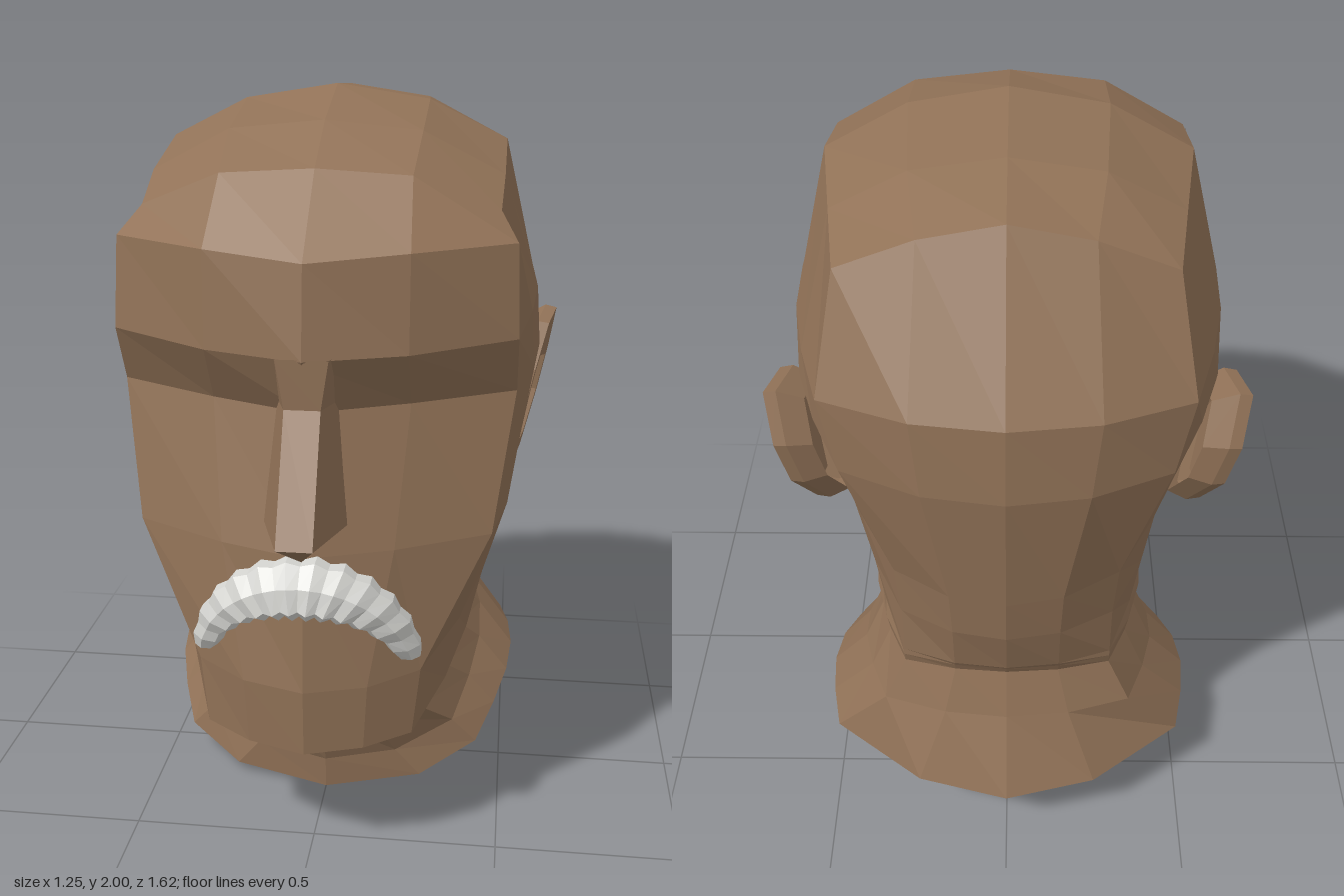
import * as THREE from 'three';

const lerp = THREE.MathUtils.lerp;

// Skin a list of point rows with quads; closed joins the end of each row to its start.
function loft(rows, closed) {
  const pos = [];
  const n = rows[0].length;
  for (let i = 0; i < rows.length - 1; i++) {
    for (let j = 0; j < (closed ? n : n - 1); j++) {
      const k = (j + 1) % n;
      const a = rows[i][j], b = rows[i][k], c = rows[i + 1][j], d = rows[i + 1][k];
      pos.push(...a, ...c, ...d, ...a, ...d, ...b);
    }
  }
  const g = new THREE.BufferGeometry();
  g.setAttribute('position', new THREE.Float32BufferAttribute(pos, 3));
  g.computeVertexNormals();
  return g;
}

const flip = ([x, y, z]) => [-x, y, z];

// Complete a half ring (front centre round the left side to back centre).
const closeRing = (half) => [...half, ...half.slice(1, -1).reverse().map(flip)];

// Half ring: heights front/back with a hump, then front, cheek, corner, side width, back corner, back.
function ring(yF, yB, hump, zF, [mx, mz], [cx, cz], w, [bx, bz], zB) {
  const plan = [[0, zF], [mx, mz]];
  for (let k = 0; k <= 5; k++) {
    const s = k / 5;
    plan.push([lerp(cx, bx, s) + (w - (cx + bx) / 2) * Math.sin(Math.PI * s), lerp(cz, bz, s)]);
  }
  plan.push([bx * 0.5, lerp(zB, bz, 0.25)], [0, zB]);
  return plan.map(([x, z]) => {
    const t = (zF - z) / (zF - zB);
    return [x, lerp(yF, yB, t) + hump * Math.sin(Math.PI * t), z];
  });
}

export function createModel() {
  const model = new THREE.Group();
  const skin = new THREE.MeshStandardMaterial({ color: 0x917257, flatShading: true, side: THREE.DoubleSide });
  skin.name = 'brown skin';
  const hair = new THREE.MeshStandardMaterial({ color: 0xd6d6d2, flatShading: true, side: THREE.DoubleSide });
  hair.name = 'pale grey hair';

  const add = (name, geometry, material) => {
    const mesh = new THREE.Mesh(geometry, material);
    mesh.name = name;
    model.add(mesh);
  };

  // Crown: each row is centre, middle and edge, from forehead to back
  const crown = [
    [[0, 1.63, 0.645], [0.25, 1.65, 0.59], [0.5, 1.655, 0.44]],
    [[0, 1.825, 0.43], [0.24, 1.81, 0.42], [0.455, 1.72, 0.35]],
    [[0, 1.925, 0.24], [0.25, 1.9, 0.23], [0.46, 1.79, 0.2]],
    [[0, 2.0, -0.02], [0.25, 1.96, -0.03], [0.46, 1.855, -0.06]],
    [[0, 1.98, -0.35], [0.23, 1.945, -0.35], [0.42, 1.845, -0.35]],
    [[0, 1.94, -0.58], [0.2, 1.9, -0.58], [0.39, 1.82, -0.57]],
  ];
  const crownRows = crown.map(([c, m, e]) => [flip(e), flip(m), c, m, e]).reverse();
  add('crown', loft(crownRows, false), skin);

  // Face and skull: rings from the crown edge down to the jaw, narrowing to the nape
  const crownEdge = [crown[0][0], crown[0][1], ...crown.map((r) => r[2]), crown[5][1], crown[5][0]];
  const jaw = ring(0.36, 0.63, 0, 0.68, [0.15, 0.64], [0.27, 0.57], 0.4, [0.28, -0.6], -0.68);
  const headRings = [
    crownEdge,
    ring(1.4, 1.54, 0, 0.67, [0.25, 0.6], [0.51, 0.455], 0.555, [0.44, -0.67], -0.8),
    ring(1.255, 1.33, 0, 0.6, [0.25, 0.5], [0.51, 0.37], 0.565, [0.4, -0.68], -0.81),
    ring(0.9, 0.95, 0, 0.67, [0.22, 0.59], [0.46, 0.46], 0.495, [0.29, -0.63], -0.76),
    ring(0.54, 0.8, 0, 0.69, [0.16, 0.65], [0.29, 0.565], 0.44, [0.28, -0.61], -0.735),
    jaw,
  ];
  add('face and skull', loft(headRings.map(closeRing), true), skin);

  // Chin underside and flared neck, open at the bottom
  const neckRings = [
    jaw,
    ring(0.34, 0.61, 0, 0.4, [0.16, 0.38], [0.29, 0.32], 0.395, [0.28, -0.6], -0.665),
    ring(0.26, 0.58, 0, 0.325, [0.14, 0.31], [0.27, 0.25], 0.375, [0.28, -0.59], -0.65),
    ring(0.1, 0.44, 0.06, 0.26, [0.2, 0.22], [0.36, 0.12], 0.43, [0.34, -0.61], -0.69),
    ring(0.005, 0.21, 0.125, 0.25, [0.27, 0.2], [0.43, 0.09], 0.525, [0.49, -0.56], -0.79),
  ];
  add('neck', loft(neckRings.map(closeRing), true), skin);

  // Nose: outer base and ridge on each level, closing to a point below
  const noseRows = [
    [1.405, 0.075, 0.63, 0.065, 0.667],
    [1.28, 0.08, 0.55, 0.045, 0.662],
    [0.975, 0.11, 0.6, 0.045, 0.81],
    [0.9, 0, 0.68, 0, 0.69],
  ].map(([y, xo, zo, xi, zi]) => [[-xo, y, zo], [-xi, y, zi], [xi, y, zi], [xo, y, zo]]);
  add('nose', loft(noseRows, false), skin);

  // Ears: outline swept out to a rim, then into a shallow hollow
  const outline = [[-0.24, 1.31], [-0.38, 1.33], [-0.43, 1.19], [-0.41, 1.05],
    [-0.3, 0.9], [-0.21, 0.89], [-0.155, 1.1], [-0.17, 1.18]];
  const earRow = (scale, out) => outline.map(([z0, y0]) => {
    const y = lerp(1.11, y0, scale), z = lerp(-0.29, z0, scale);
    return [0.56 + 0.2 * (y - 1.1) - 0.15 * (z + 0.28) + out, y, z];
  });
  const earRows = [earRow(0.85, -0.09), earRow(1, -0.03), earRow(0.97, 0.005),
    earRow(0.76, 0.005), earRow(0.7, -0.02), earRow(0, -0.02)];
  add('left ear', loft(earRows, true), skin);
  add('right ear', loft(earRows.map((r) => r.map(flip).reverse()), true), skin);

  // Moustache: jagged drooping arc of alternating sections, thinner at the ends
  const sections = [];
  const count = 24, sides = 7;
  for (let i = 0; i <= count; i++) {
    const u = (i / count) * 2 - 1;
    const arc = u * 1.62;
    const jag = i % 2 ? 1.06 : 0.9;
    const radius = 0.2 + 0.065 * u * u;
    const thick = (0.072 - 0.038 * u * u) * jag;
    const depth = (0.055 - 0.015 * u * u) * jag;
    const row = [];
    for (let j = 0; j < sides; j++) {
      const a = (j / sides) * Math.PI * 2 - Math.PI / 2;
      const h = thick * Math.sin(a);
      row.push([Math.sin(arc) * (radius + h), 0.64 + Math.cos(arc) * (radius + h),
        0.712 - 0.105 * u * u + depth * Math.cos(a) - 0.35 * h]);
    }
    sections.push(row);
  }
  const tip = (row) => {
    const c = [0, 1, 2].map((k) => row.reduce((sum, p) => sum + p[k], 0) / sides);
    c[1] -= 0.015;
    return row.map(() => c);
  };
  add('moustache', loft([tip(sections[0]), ...sections, tip(sections[count])], true), hair);

  return model;
}
